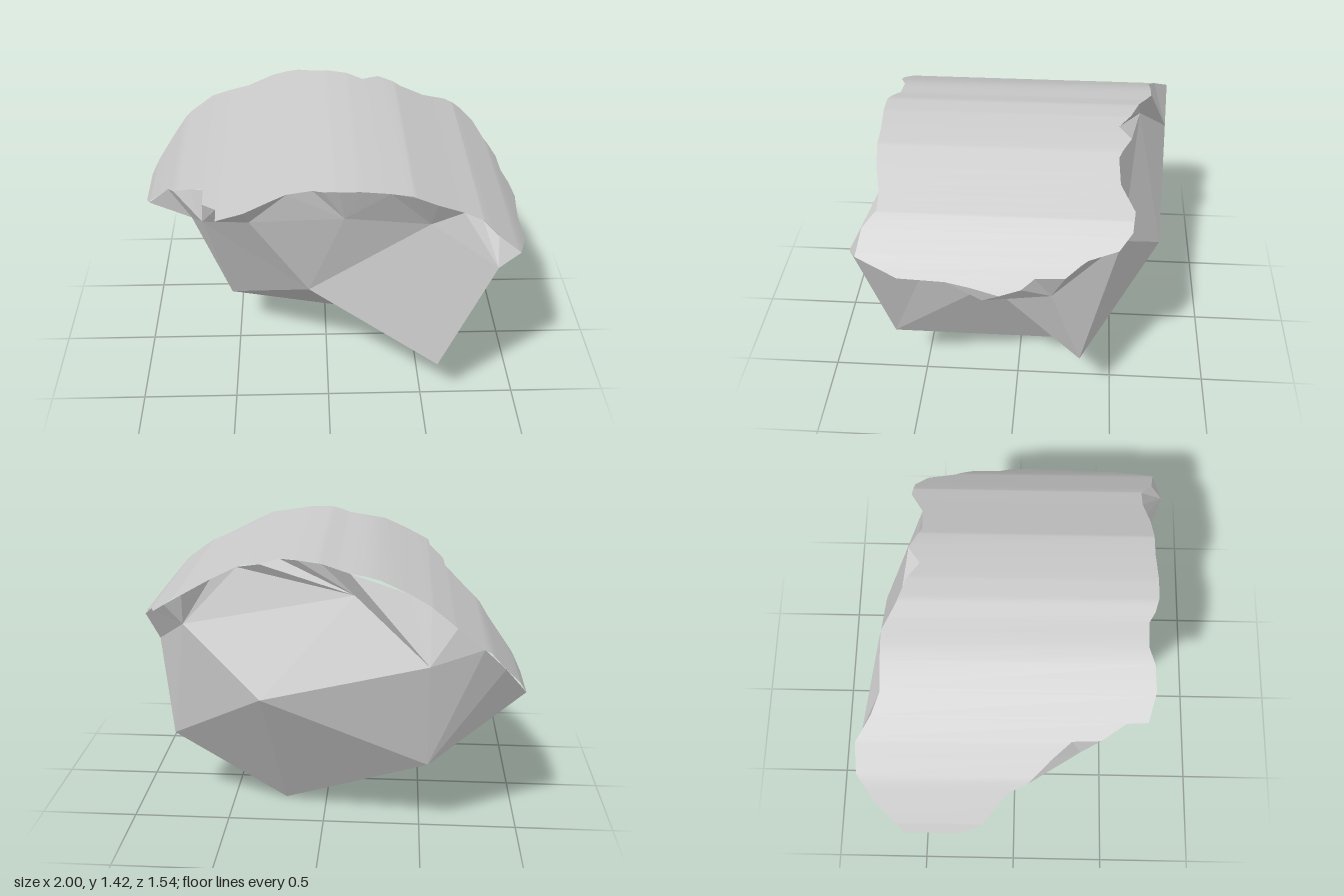
import * as THREE from 'three';

const V = (x, y, z) => new THREE.Vector3(x, y, z);

// Height of the curved top for a given x
const arch = [[-1, 0.78], [-0.96, 0.85], [-0.8, 1.05], [-0.63, 1.18], [-0.52, 1.25], [-0.28, 1.36], [-0.2, 1.38],
  [-0.07, 1.4], [0.02, 1.42], [0.14, 1.42], [0.25, 1.405], [0.38, 1.385], [0.6, 1.28], [0.73, 1.22], [0.9, 1.09],
  [0.98, 1.0], [1, 0.975]];

// Linear interpolation in a list of [x, value] sorted by x
function lerpList(list, x) {
  for (let i = 1; i < list.length; i++) {
    const [x0, v0] = list[i - 1], [x1, v1] = list[i];
    if (x <= x1) return x1 === x0 ? v1 : v0 + (v1 - v0) * Math.max(0, (x - x0) / (x1 - x0));
  }
  return list[list.length - 1][1];
}
const onTop = ([x, z]) => V(x, lerpList(arch, x), z);

// Corners of the broken rock below the top
const P = {
  bottom: V(0.22, 0, -0.24), lowLeft: V(-0.53, 0.33, 0), lowFront: V(0.56, 0.325, 0.64), lowRight: V(0.8, 0.41, -0.33),
  front: V(-0.1, 0.73, 0.51), side: V(0.63, 0.72, 0.13), back: V(0.29, 0.77, -0.72),
  f1: V(0.49, 1.15, 0.56), f2: V(0.07, 1.23, 0.62), f3: V(-0.38, 1.21, 0.61),
  corner: V(0.79, 1.04, 0.77), s1: V(0.69, 0.91, 0.42), s2: V(0.97, 0.92, 0.13), s3: V(0.885, 0.89, -0.185),
  b1: V(0.69, 1.08, -0.51), b2: V(-0.16, 1.27, -0.6), b3: V(-0.52, 0.98, -0.77), lowBack: V(-0.53, 0.41, -0.63),
  l1: V(-0.72, 0.85, 0.02), l2: V(-0.63, 1.03, 0.33),
};

// Each upper corner with the ragged rim points (x, z) it fans out to, counterclockwise from above
const fans = [
  ['l1', [-1, -0.27], [-0.97, -0.16], [-0.84, -0.03], [-0.8, 0.07]],
  ['l2', [-0.7, 0.18], [-0.62, 0.28], [-0.615, 0.42], [-0.54, 0.54]],
  ['f3', [-0.535, 0.645], [-0.4, 0.68], [-0.28, 0.67], [-0.2, 0.64]],
  ['f2', [-0.08, 0.64], [-0.03, 0.67], [0.04, 0.69], [0.14, 0.69], [0.28, 0.68]],
  ['f1', [0.4, 0.68], [0.5, 0.67], [0.63, 0.64]],
  ['corner', [0.72, 0.64], [0.79, 0.7], [0.9, 0.72]],
  ['s1', [0.96, 0.52], [0.965, 0.3]],
  ['s2', [0.98, 0.18], [1, 0.05], [0.98, -0.05]],
  ['s3', [0.945, -0.11], [0.94, -0.25], [0.88, -0.35]],
  ['b1', [0.84, -0.49], [0.77, -0.55], [0.68, -0.56], [0.55, -0.49], [0.42, -0.48]],
  ['b2', [0.3, -0.54], [0.21, -0.48], [0.12, -0.54], [0, -0.58], [-0.14, -0.65]],
  ['b3', [-0.42, -0.65], [-0.52, -0.69], [-0.64, -0.77], [-0.77, -0.77]],
  ['lowBack', [-0.88, -0.69], [-1, -0.55]],
];

// Large facets of the lower rock, grouped by the side they face
const facets = [
  // front
  ['front', 'lowFront', 'f1'], ['front', 'f1', 'f2'], ['front', 'f2', 'f3'], ['front', 'f3', 'l2'],
  ['front', 'l2', 'lowLeft'], ['front', 'lowLeft', 'bottom'], ['front', 'bottom', 'lowFront'],
  ['lowFront', 'corner', 'f1'],
  // +x side
  ['lowFront', 's1', 'corner'], ['lowFront', 'side', 's1'], ['lowFront', 'bottom', 'side'],
  ['bottom', 'lowRight', 'side'], ['side', 'lowRight', 's3'], ['side', 's3', 's2'], ['side', 's2', 's1'],
  // back
  ['s3', 'lowRight', 'b1'], ['lowRight', 'back', 'b1'], ['back', 'lowRight', 'bottom'],
  ['back', 'bottom', 'lowBack'], ['back', 'lowBack', 'b3'], ['b1', 'back', 'b2'], ['back', 'b3', 'b2'],
  // -x side
  ['l2', 'l1', 'lowLeft'], ['lowLeft', 'l1', 'lowBack'], ['bottom', 'lowLeft', 'lowBack'],
];

function rockGeometry() {
  const pts = facets.flat().map((name) => P[name]);
  // Broken edge between the upper corners and the rim
  let prev = onTop(fans[fans.length - 1].at(-1));
  fans.forEach(([name, ...rim], i) => {
    const c = P[name], next = P[fans[(i + 1) % fans.length][0]];
    for (const r of rim.map(onTop)) {
      pts.push(c, r, prev);
      prev = r;
    }
    pts.push(c, next, prev);
  });
  const geo = new THREE.BufferGeometry().setFromPoints(pts);
  geo.computeVertexNormals();
  return geo;
}

function topGeometry() {
  const rim = fans.flatMap(([, ...r]) => r);
  const tip = rim.findIndex(([x]) => x === 1);
  const front = rim.slice(0, tip + 1), back = rim.slice(tip).reverse();
  const xs = [...new Set([...rim, ...arch].map(([x]) => x))].sort((a, b) => a - b);
  const pts = [], index = [];
  // One front-to-back strip between neighbouring columns
  xs.forEach((x, i) => {
    pts.push(onTop([x, lerpList(front, x)]), onTop([x, lerpList(back, x)]));
    const a = 2 * i;
    if (i < xs.length - 1) index.push(a, a + 2, a + 1, a + 1, a + 2, a + 3);
  });
  const geo = new THREE.BufferGeometry().setFromPoints(pts);
  geo.setIndex(index);
  geo.computeVertexNormals();
  return geo;
}

export function createModel() {
  const group = new THREE.Group();
  group.name = 'brokenRock';
  const rock = new THREE.Mesh(rockGeometry(), new THREE.MeshStandardMaterial({ color: 0xcccccc, flatShading: true }));
  rock.name = 'facetedRock';
  const top = new THREE.Mesh(topGeometry(), new THREE.MeshStandardMaterial({ color: 0xcccccc, side: THREE.DoubleSide }));
  top.name = 'curvedTop';
  group.add(rock, top);
  return group;
}
